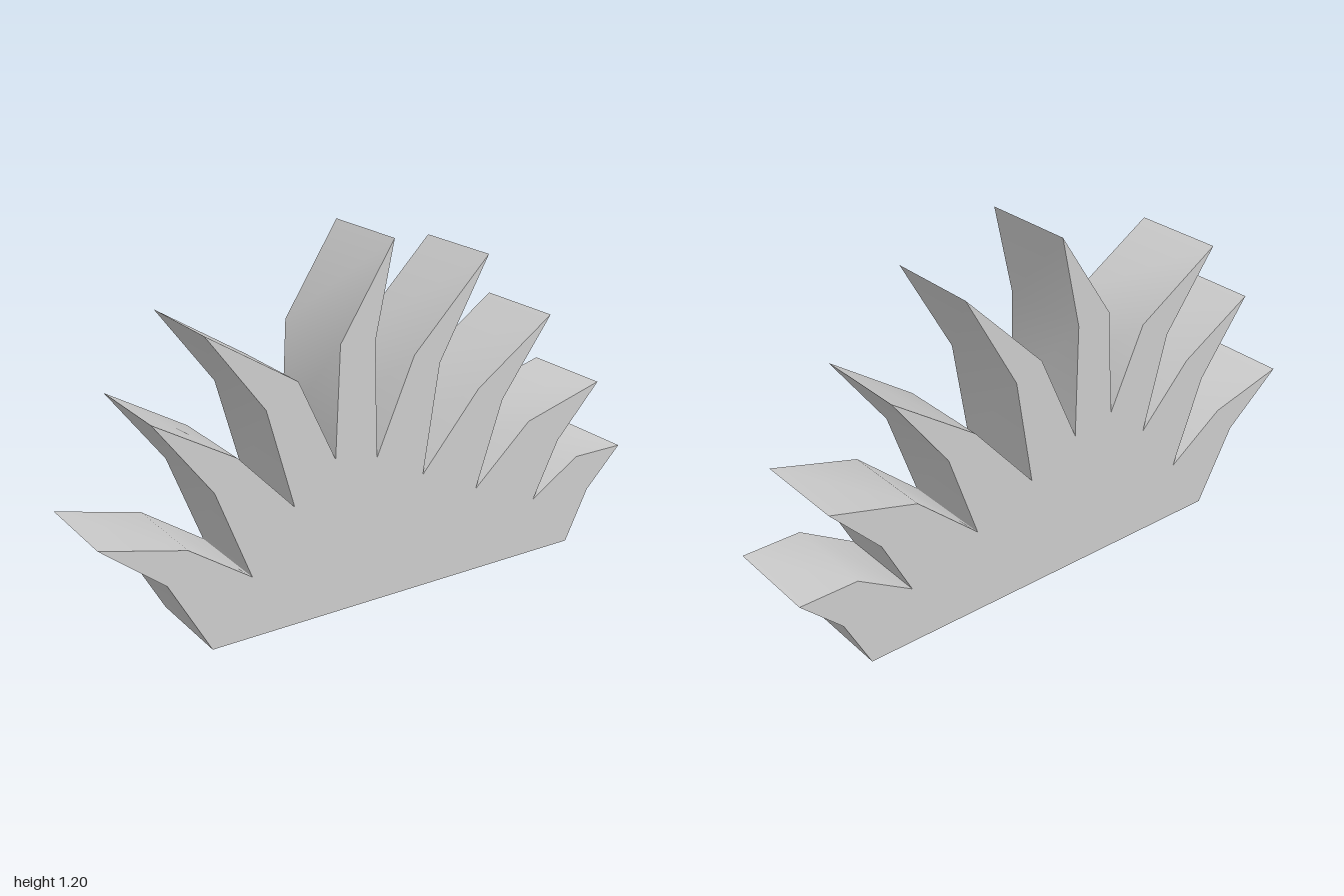
import * as THREE from 'three';
import { toCreasedNormals } from 'three/addons/utils/BufferGeometryUtils.js';

const DEPTH = 0.33;

// Each blade from left (+x) to right: root, near bend, tip, far bend.
const BLADES = [
  [[0.77, 0], [0.86, 0.18], [1.0, 0.318], [0.80, 0.318]],
  [[0.61, 0.2], [0.71, 0.4], [0.88, 0.582], [0.575, 0.497]],
  [[0.355, 0.3], [0.457, 0.6], [0.65, 0.862], [0.355, 0.657]],
  [[0.135, 0.402], [0.195, 0.775], [0.38, 1.105], [0.095, 0.818]],
  [[-0.046, 0.5], [-0.053, 0.89], [0.016, 1.203], [-0.18, 0.9]],
  [[-0.2, 0.53], [-0.33, 0.81], [-0.637, 1.003], [-0.442, 0.74]],
  [[-0.35, 0.405], [-0.543, 0.61], [-0.815, 0.77], [-0.623, 0.515]],
  [[-0.505, 0.208], [-0.717, 0.354], [-1.0, 0.426], [-0.79, 0.255]],
];
const BASE_END = [-0.65, 0];

export function createModel() {
  const group = new THREE.Group();
  group.name = 'grassTuft';

  // Fan of bent blades rising from a flat base, cut from one thick slab
  const outline = [...BLADES.flat(), BASE_END].map(([x, y]) => new THREE.Vector2(x, y));
  const slab = new THREE.ExtrudeGeometry(new THREE.Shape(outline), {
    depth: DEPTH,
    bevelEnabled: false,
  });
  slab.translate(0, 0, -DEPTH / 2);

  // Soft bends along the blades, sharp tips, roots and rims
  const geometry = toCreasedNormals(slab, THREE.MathUtils.degToRad(40));
  const blades = new THREE.Mesh(geometry, new THREE.MeshStandardMaterial({ color: 0xcccccc }));
  blades.name = 'grassBlades';
  group.add(blades);
  return group;
}
